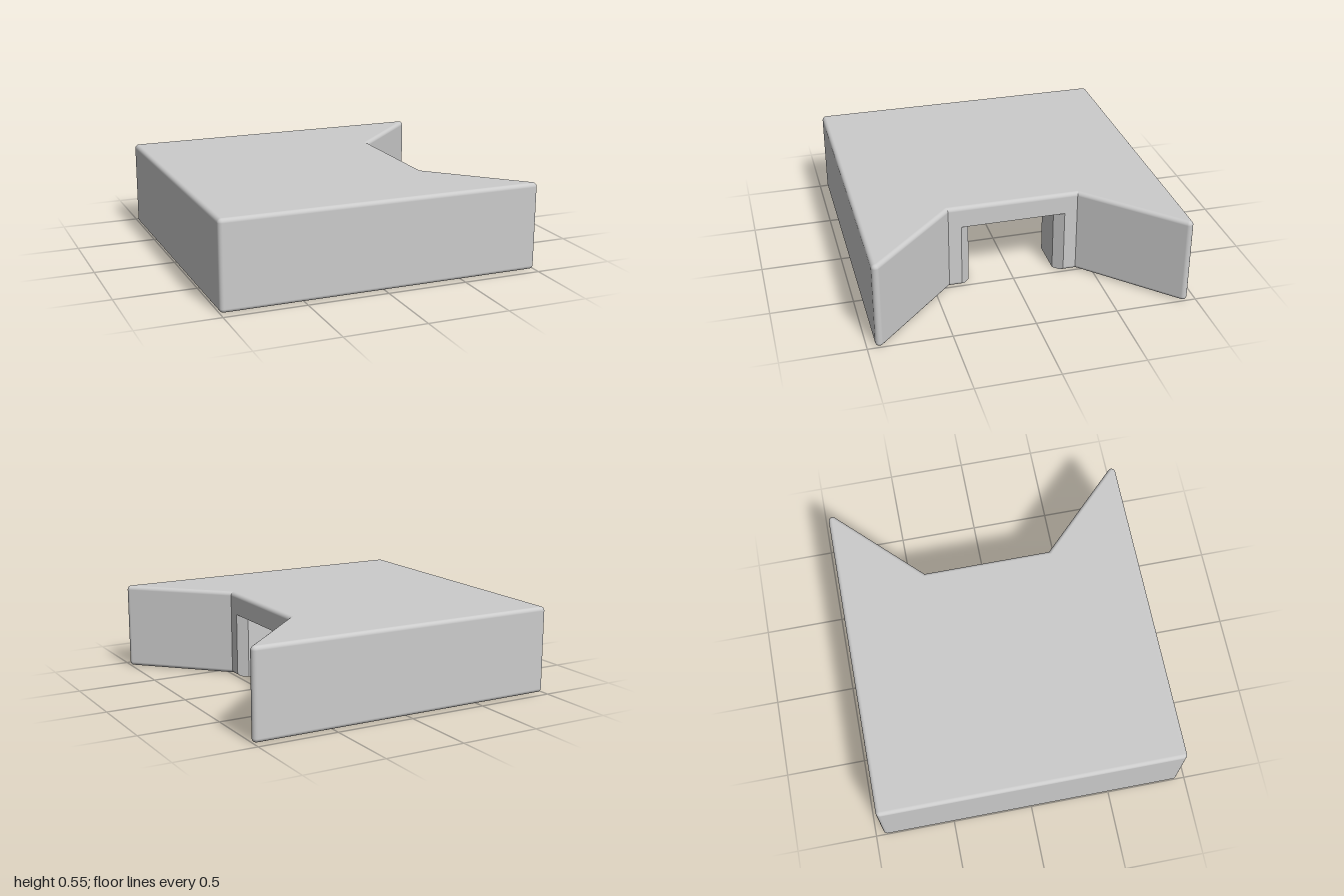
import * as THREE from 'three';

const R = 0.025;         // edge rounding
const HEIGHT = 0.545;
const CEILING = 0.41;    // top of the pocket
const STEPS = 6;

// Outline point: position plus the outward direction it is inset along
const point = (x, z, dx = 0, dz = 0) => ({ x, z, dx, dz });

function corner(cx, cz, from, to) {
  const pts = [];
  for (let i = 0; i <= STEPS; i++) {
    const a = from + (to - from) * i / STEPS;
    const c = Math.cos(a), s = Math.sin(a);
    pts.push(point(cx + R * c, cz + R * s, c, s));
  }
  return pts;
}

// Completes a front half outline with its reflection at the back
const mirrored = half => [...half, ...half.map(p => point(p.x, -p.z, p.dx, -p.dz)).reverse()];

// Wall swept through levels of { y, inset, tilt }
function wall(outline, levels) {
  const pos = [], nor = [];
  outline.forEach((p, i) => {
    const q = outline[(i + 1) % outline.length];
    const len = Math.hypot(q.x - p.x, q.z - p.z);
    const nx = -(q.z - p.z) / len, nz = (q.x - p.x) / len;
    const bevelled = Math.hypot(p.dx, p.dz) > 0 && Math.hypot(q.dx, q.dz) > 0;
    const vertex = (v, l) => {
      pos.push(v.x - v.dx * l.inset, l.y, v.z - v.dz * l.inset);
      // smooth around rounded corners, flat elsewhere
      const d = Math.hypot(v.dx, v.dz);
      const round = d > 0 && (v.dx * nx + v.dz * nz) / d > 0.95;
      const [hx, hz] = round ? [v.dx / d, v.dz / d] : [nx, nz];
      const t = bevelled ? l.tilt : 0;
      nor.push(hx * Math.cos(t), Math.sin(t), hz * Math.cos(t));
    };
    for (let k = 0; k < levels.length - 1; k++) {
      const a = levels[k], b = levels[k + 1];
      vertex(p, a); vertex(q, a); vertex(q, b);
      vertex(p, a); vertex(q, b); vertex(p, b);
    }
  });
  const g = new THREE.BufferGeometry();
  g.setAttribute('position', new THREE.Float32BufferAttribute(pos, 3));
  g.setAttribute('normal', new THREE.Float32BufferAttribute(nor, 3));
  return g;
}

// Flat cap, facing up (side 1) or down (side -1)
function cap(outline, inset, y, side) {
  const shape = new THREE.Shape(outline.map(p =>
    new THREE.Vector2(p.x - p.dx * inset, -side * (p.z - p.dz * inset))));
  return new THREE.ShapeGeometry(shape).rotateX(-side * Math.PI / 2).translate(0, y, 0);
}

export function createModel() {
  const group = new THREE.Group();
  const material = new THREE.MeshStandardMaterial({ color: 0xcccccc });
  const add = (name, geometry) => {
    const mesh = new THREE.Mesh(geometry, material);
    mesh.name = name;
    group.add(mesh);
  };

  // Outer outline: square corner, pointed wing, notch corner
  const outer = [
    ...corner(-0.975, 0.925, Math.PI, Math.PI / 2),
    ...corner(0.975, 0.925, Math.PI / 2, -Math.PI / 4),
    point(0.49, 0.404, 1, -0.414),
  ];
  // Pocket: chamfered mouth, neck, barbed shoulder, wide chamber
  const mouth = point(0.49, 0.325, 1, 1);
  const pocket = [
    mouth, point(0.435, 0.27), point(0.2, 0.27),
    point(0.34, 0.41), point(-0.48, 0.41),
  ];
  const lidOutline = mirrored(outer);
  const baseOutline = mirrored([...outer, ...pocket]);

  // Quarter-round edge profile
  const rounding = Array.from({ length: STEPS + 1 }, (_, i) => {
    const tilt = i / STEPS * Math.PI / 2;
    return { tilt, inset: R * (1 - Math.cos(tilt)), rise: R * Math.sin(tilt) };
  });
  const topEdge = rounding.map(r => ({ y: HEIGHT - R + r.rise, inset: r.inset, tilt: r.tilt }));
  const bottomEdge = rounding.map(r => ({ y: R - r.rise, inset: r.inset, tilt: -r.tilt })).reverse();
  const seam = { y: CEILING, inset: 0, tilt: 0 };

  add('lidWall', wall(lidOutline, [seam, ...topEdge]));
  add('lidTop', cap(lidOutline, R, HEIGHT, 1));
  add('baseAndPocketWalls', wall(baseOutline, [...bottomEdge, seam]));
  add('baseUnderside', cap(baseOutline, R, 0, -1));
  add('pocketCeiling', cap(mirrored(pocket), 0, CEILING, -1));
  return group;
}
